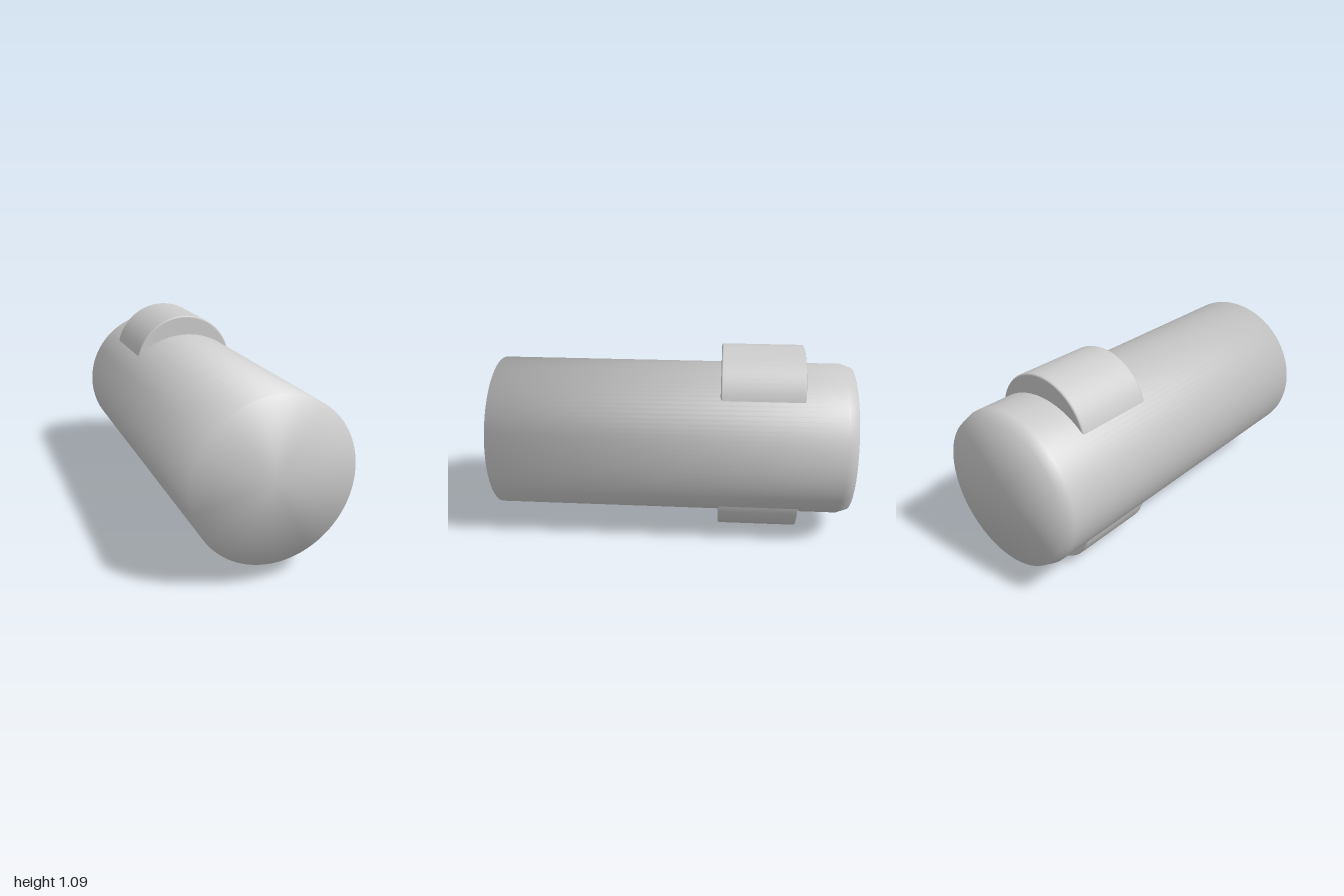
import * as THREE from 'three';

const material = new THREE.MeshStandardMaterial({ color: 0xcccccc });
const MID = 0.5425;

// Turned part lying along z; each profile row is [radius, z]
function turned(name, profile, segments, y, z) {
  const points = profile.map(([r, d]) => new THREE.Vector2(r, d));
  const geometry = new THREE.LatheGeometry(points, segments);
  geometry.rotateX(Math.PI / 2);
  const mesh = new THREE.Mesh(geometry, material);
  mesh.name = name;
  mesh.position.set(0, y, z);
  return mesh;
}

// Blend normals softly over the rims: one tilt (radians toward +z) per ring
function softenRims(geometry, tilts) {
  const pos = geometry.attributes.position;
  const normal = geometry.attributes.normal;
  const rings = tilts.length;
  for (let i = 0; i < pos.count; i++) {
    const a = Math.floor(i / rings) / (pos.count / rings - 1) * Math.PI * 2;
    const t = tilts[i % rings];
    normal.setXYZ(i, Math.sin(a) * Math.cos(t), -Math.cos(a) * Math.cos(t), Math.sin(t));
  }
}

export function createModel() {
  const model = new THREE.Group();
  model.name = 'cylinderHousing';

  // Main barrel: flat front, chamfered back
  const body = turned('body',
    [[0, -1], [0.409, -1], [0.43, -0.94], [0.43, 1], [0, 1]], 96, MID, 0);
  softenRims(body.geometry, [-Math.PI / 2, -0.85, -0.17, Math.PI / 4, Math.PI / 2]);
  model.add(body);

  // Round lugs above and below, partly sunk into the barrel
  const r = 0.297, h = 0.228, b = 0.01;
  const lugProfile = [[0, -h], [r - b, -h], [r - b * 0.3, -h + b * 0.3], [r, -h + b],
    [r, h - b], [r - b * 0.3, h - b * 0.3], [r - b, h], [0, h]];
  for (const [name, side] of [['topLug', 1], ['bottomLug', -1]]) {
    model.add(turned(name, lugProfile, 64, MID + side * (MID - r), -0.495));
  }

  // Slim rounded rail under the barrel, running into the bottom lug
  const half = 0.02, reach = 0.042;
  const section = new THREE.Shape();
  section.absarc(reach, 0, half, -Math.PI / 2, Math.PI / 2, false);
  section.absarc(-reach, 0, half, Math.PI / 2, Math.PI * 1.5, false);
  const railGeometry = new THREE.ExtrudeGeometry(section,
    { depth: 1.01, bevelEnabled: false, curveSegments: 12 });
  const rail = new THREE.Mesh(railGeometry, material);
  rail.name = 'bottomRail';
  rail.position.set(0, 0.098, -0.3);
  model.add(rail);

  return model;
}
